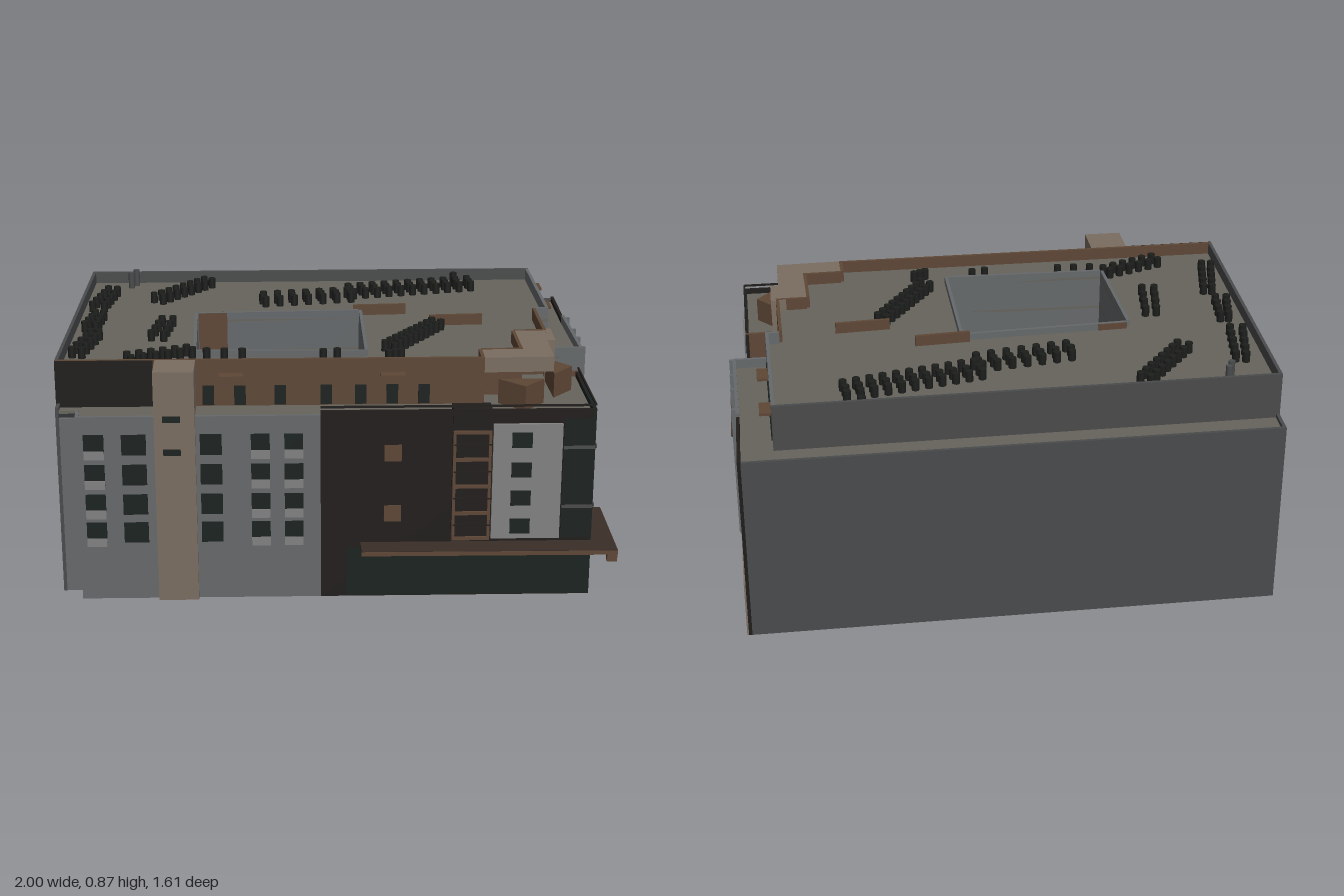
import * as THREE from 'three';

const C = {
  grey: 0x66696b, darkGrey: 0x4a4b4c, black: 0x201d1b, glass: 0x1b2220, brown: 0x5e4736,
  beige: 0x7b6e62, roof: 0x66645c, light: 0x828282, shrub: 0x1c1e1c, canopy: 0x3a2d28,
};
const mats = {};
const mat = (c) => (mats[c] ??= new THREE.MeshStandardMaterial({ color: C[c], side: THREE.DoubleSide }));

export function createModel() {
  const model = new THREE.Group();
  const section = (name) => {
    const g = new THREE.Group();
    g.name = name;
    model.add(g);
    return g;
  };
  const add = (parent, name, geo, color) => {
    const m = new THREE.Mesh(geo, mat(color));
    m.name = name;
    parent.add(m);
    return m;
  };

  // Upright box along plan line a -> b, from offset o0 to o1 outwards
  const slab = (parent, name, a, b, y0, y1, color, o0 = -0.012, o1 = 0) => {
    const dx = b[0] - a[0], dz = b[1] - a[1], len = Math.hypot(dx, dz), o = (o0 + o1) / 2;
    const m = add(parent, name, new THREE.BoxGeometry(len, y1 - y0, o1 - o0), color);
    m.position.set((a[0] + b[0]) / 2 - (dz / len) * o, (y0 + y1) / 2, (a[1] + b[1]) / 2 + (dx / len) * o);
    m.rotation.y = Math.atan2(-dz, dx);
    return m;
  };
  // Places pieces on a wall line by their x (axis 0) or z (axis 1)
  const facade = (parent, a, b, axis) => {
    const at = (s) => {
      const t = (s - a[axis]) / (b[axis] - a[axis]);
      return [a[0] + (b[0] - a[0]) * t, a[1] + (b[1] - a[1]) * t];
    };
    return (name, s0, s1, y0, y1, color, out = 0.004, back = -0.004) =>
      slab(parent, name, at(s0), at(s1), y0, y1, color, back, out);
  };
  // Flat plate from a plan outline, optionally with an opening
  const plate = (parent, name, pts, y0, y1, color, hole) => {
    const v = (p) => new THREE.Vector2(p[0], -p[1]);
    const shape = new THREE.Shape(pts.map(v));
    if (hole) shape.holes.push(new THREE.Path(hole.map(v)));
    const geo = new THREE.ExtrudeGeometry(shape, { depth: y1 - y0, bevelEnabled: false });
    geo.rotateX(-Math.PI / 2).translate(0, y0, 0);
    return add(parent, name, geo, color);
  };

  const court = [[-0.49, -0.14], [0.12, -0.13], [0.09, 0.37], [-0.505, 0.32]];
  const FL = [-0.93, 0.595], FR = [0.86, 0.705], MID = [-0.09, 0.647];
  const RB = [0.99, -0.7], RF = [0.95, 0.05];

  // Lower storeys
  const lower = section('lowerStoreys');
  [
    [[-1, 0.52], [-0.93, 0.523], 'grey', 0.65], [[-0.93, 0.523], FL, 'grey', 0.68],
    [FL, MID, 'grey', 0.68], [MID, FR, 'black', 0.695],
    [FR, [0.875, 0.44], 'glass', 0.695], [[0.875, 0.44], [0.885, 0.28], 'black', 0.695],
    [[0.885, 0.28], [0.77, 0.275], 'brown', 0.695], [[0.77, 0.275], [0.78, 0.04], 'brown', 0.69],
    [[0.78, 0.04], RF, 'grey', 0.71], [RF, [0.969, -0.38], 'grey', 0.71],
    [[0.969, -0.38], RB, 'black', 0.695], [RB, [-0.89, -0.81], 'darkGrey', 0.69],
    [[-0.89, -0.81], [-1, 0.52], 'darkGrey', 0.69],
  ].forEach(([a, b, c, h]) => slab(lower, 'outerWall', a, b, 0, h, c));
  plate(lower, 'terraceDeck', [[-0.992, 0.515], [-0.925, 0.515], FL, [0.85, 0.698], [0.878, 0.285],
    [0.765, 0.28], [0.775, 0.045], [0.942, 0.045], [0.982, -0.694], [-0.885, -0.803]], 0.666, 0.676, 'roof', court);

  // Upper storey with parapet
  const upper = section('upperStorey');
  const UL = [-0.998, 0.47], UR = [0.49, 0.56], UB = [0.86, -0.61], US = [0.83, -0.03];
  const outline = [UL, UR, [0.495, 0.465], [0.64, 0.47], [0.65, 0.25], [0.765, 0.255], [0.78, -0.03], US, UB, [-0.9, -0.705]];
  outline.forEach((a, i) => {
    const c = i < 6 ? 'brown' : i < 8 ? 'grey' : 'darkGrey';
    slab(upper, 'upperWall', a, outline[(i + 1) % outline.length], 0.67, 0.845, c);
  });
  plate(upper, 'mainRoof', outline, 0.79, 0.8, 'roof', court);
  const upFront = facade(upper, UL, UR, 0), upRight = facade(upper, US, UB, 1);
  upFront('darkCladding', -0.998, -0.66, 0.66, 0.844, 'black');
  for (const x of [-0.47, -0.36, -0.22, -0.06, 0.06, 0.17, 0.28]) upFront('upperWindow', x - 0.02, x + 0.02, 0.68, 0.75, 'glass');
  for (const z of [-0.12, -0.25, -0.4, -0.52]) upRight('upperWindow', z + 0.024, z - 0.024, 0.68, 0.755, 'glass');
  for (const x of [-0.39, 0.17]) upFront('awning', x - 0.042, x + 0.042, 0.785, 0.795, 'brown', 0.04);
  for (const z of [-0.26, -0.52]) upRight('awning', z + 0.04, z - 0.04, 0.785, 0.795, 'brown', 0.04);

  // Corner roof over the terrace
  plate(upper, 'cornerRoof', [UR, [0.732, 0.57], [0.745, 0.375], [0.775, 0.375], [0.785, 0.235],
    [0.65, 0.25], [0.64, 0.47], [0.495, 0.465]], 0.79, 0.844, 'beige');
  plate(upper, 'cornerScreen', [[0.54, 0.56], [0.62, 0.65], [0.7, 0.57]], 0.676, 0.765, 'brown');
  plate(upper, 'cornerScreen', [[0.75, 0.34], [0.745, 0.52], [0.825, 0.44]], 0.676, 0.765, 'brown');
  slab(upper, 'cornerPier', [0.776, 0.3], [0.78, 0.24], 0.65, 0.845, 'beige', -0.02, 0.004);

  // Open courtyard
  const yard = section('courtyard');
  court.forEach((a, i) => slab(yard, 'courtyardWall', a, court[(i + 1) % 4], 0, 0.825, 'grey'));
  facade(yard, court[0], court[1], 0)('brownStrip', -0.488, -0.38, 0, 0.824, 'brown', 0.003, -0.016);

  // Grey front with its windows
  const front = section('frontFacade');
  const onFront = facade(front, FL, FR, 0);
  const rows = [0.215, 0.32, 0.43, 0.54];
  for (const [x0, x1, sill] of [[-0.905, -0.835, 1], [-0.775, -0.69, 0], [-0.505, -0.43, 0], [-0.33, -0.265, 1], [-0.215, -0.15, 1]])
    for (const y of rows) {
      onFront('window', x0, x1, y, y + 0.075, 'glass');
      if (sill) onFront('windowPanel', x0, x1, y - 0.015, y + 0.017, 'light', 0.007);
    }

  // Stair tower
  onFront('stairTower', -0.66, -0.52, 0, 0.845, 'beige', 0.02, -0.12);
  for (const y of [0.545, 0.665]) onFront('towerSlot', -0.63, -0.57, y, y + 0.022, 'glass', 0.024, 0.01);

  // Dark front with balconies and the pale bay
  for (const y of [0.285, 0.51]) onFront('brownWindow', 0.13, 0.19, y, y + 0.06, 'brown');
  onFront('groundGlazing', 0, 0.85, 0.005, 0.185, 'glass');
  onFront('balconyShaft', 0.365, 0.5, 0.215, 0.7, 'black', 0.006, -0.06);
  for (const x of [0.367, 0.49]) onFront('balconyPost', x, x + 0.01, 0.215, 0.62, 'brown', 0.014);
  for (const y of [0.215, 0.31, 0.41, 0.51, 0.61]) onFront('balconySlab', 0.37, 0.5, y, y + 0.012, 'brown', 0.014);
  for (const y of [0.27, 0.37, 0.47, 0.57]) onFront('balconyRail', 0.37, 0.5, y, y + 0.005, 'black', 0.016);
  onFront('paleBay', 0.505, 0.745, 0.22, 0.645, 'light', 0.012);
  for (const y of [0.24, 0.345, 0.45, 0.56]) onFront('bayWindow', 0.57, 0.64, y, y + 0.055, 'glass', 0.016);
  onFront('cornerGlazing', 0.75, 0.855, 0.22, 0.66, 'glass');

  // Right end of the corner block
  const side = section('rightFacade');
  const onCorner = facade(side, FR, [0.885, 0.28], 1);
  onCorner('palePanel', 0.6, 0.52, 0.22, 0.645, 'light', 0.01);
  for (const y of [0.33, 0.55]) {
    onCorner('floorBand', 0.7, 0.41, y, y + 0.012, 'darkGrey', 0.006);
    onFront('floorBand', 0.75, 0.858, y, y + 0.012, 'darkGrey', 0.006);
  }
  onCorner('beigeBase', 0.44, 0.28, 0, 0.21, 'beige', 0.006);
  onCorner('terraceRail', 0.7, 0.29, 0.705, 0.712, 'black', 0, -0.006);
  onFront('terraceRail', -0.09, 0.855, 0.705, 0.712, 'black', 0, -0.006);

  // Recess windows
  const onRecess = facade(side, [0.77, 0.275], [0.78, 0.04], 1);
  for (const y of [0.33, 0.44, 0.55, 0.665]) onRecess('recessWindow', 0.12, 0.06, y, y + 0.095, 'glass', 0.005);

  // Right wing with its windows
  const onWing = facade(side, RF, RB, 1);
  onWing('beigeBase', 0.05, -0.7, 0, 0.21, 'beige', 0.006);
  for (const [z0, z1, wide] of [[0.035, -0.065, 1], [-0.09, -0.17, 0], [-0.215, -0.32, 1]])
    rows.forEach((y, i) => {
      onWing('window', z0, z1, y + 0.01, y + 0.085, 'glass');
      if (wide && i % 2) onWing('windowPanel', z0, z1, y - 0.03, y + 0.03, 'light', 0.007);
    });
  for (const z of [0.045, -0.075, -0.185, -0.34]) onWing('wingRib', z, z - 0.012, 0.21, 0.71, 'grey', 0.012);
  slab(side, 'wingEndBase', [0.78, 0.04], RF, 0, 0.21, 'beige', -0.002, 0.005);

  // Entrance canopy around the corner
  const canopy = section('entranceCanopy');
  plate(canopy, 'canopySlab', [[0.048, 0.65], [0.045, 0.737], [0.935, 0.798], [0.96, 0.41], [0.87, 0.4], [0.85, 0.7]], 0.19, 0.206, 'canopy');
  slab(canopy, 'canopyFascia', [0.045, 0.737], [0.935, 0.798], 0.188, 0.203, 'brown', -0.01, 0.002);
  slab(canopy, 'canopyFascia', [0.935, 0.798], [0.96, 0.41], 0.188, 0.203, 'brown', -0.01, 0.002);
  slab(canopy, 'canopyDrop', [0.9, 0.795], [0.935, 0.798], 0.16, 0.19, 'brown', -0.03, 0);

  // Roof planting: rows as x0, z0, x1, z1, count
  const planting = section('roofPlanting');
  const shrub = new THREE.CylinderGeometry(0.014, 0.014, 0.04, 10);
  [
    [-0.835, -0.5, -0.89, -0.285, 5], [-0.8, -0.49, -0.845, -0.275, 5],
    [-0.875, -0.165, -0.91, -0.02, 4], [-0.845, -0.16, -0.87, -0.01, 4],
    [-0.885, 0.08, -0.945, 0.295, 5], [-0.855, 0.09, -0.91, 0.305, 5],
    [-0.455, -0.61, -0.655, -0.39, 8], [-0.425, -0.585, -0.62, -0.365, 8],
    [-0.625, -0.065, -0.665, 0.115, 4], [-0.585, -0.06, -0.62, 0.125, 4],
    [-0.23, -0.37, 0.1, -0.4, 7], [-0.235, -0.335, 0.11, -0.37, 7], [-0.225, -0.295, 0.11, -0.33, 7],
    [0.11, -0.455, 0.595, -0.53, 11], [0.115, -0.42, 0.595, -0.49, 11], [0.125, -0.375, 0.6, -0.45, 11],
    [0.375, 0.045, 0.17, 0.31, 10], [0.405, 0.07, 0.2, 0.345, 10],
    [-0.75, 0.37, -0.54, 0.305, 6], [-0.735, 0.41, -0.52, 0.335, 6],
    [-0.47, 0.355, -0.345, 0.37, 3], [-0.06, 0.4, -0.01, 0.395, 2], [0.17, 0.43, 0.215, 0.415, 3],
    [0.55, -0.585, 0.55, -0.585, 1],
  ].forEach(([x0, z0, x1, z1, n]) => {
    for (let i = 0; i < n; i++) {
      const t = n > 1 ? i / (n - 1) : 0;
      add(planting, 'shrub', shrub, 'shrub').position.set(x0 + (x1 - x0) * t, 0.82, z0 + (z1 - z0) * t);
    }
  });

  // Roof screens and vent pipes
  slab(planting, 'roofScreen', [0.1, -0.145], [0.3, -0.145], 0.8, 0.84, 'brown');
  slab(planting, 'roofScreen', [0.37, 0.015], [0.57, 0.015], 0.8, 0.84, 'brown');
  for (const [x, z] of [[-0.745, -0.61], [-0.725, -0.645]])
    add(planting, 'ventPipe', new THREE.CylinderGeometry(0.012, 0.012, 0.065, 12), 'darkGrey').position.set(x, 0.8325, z);

  return model;
}
